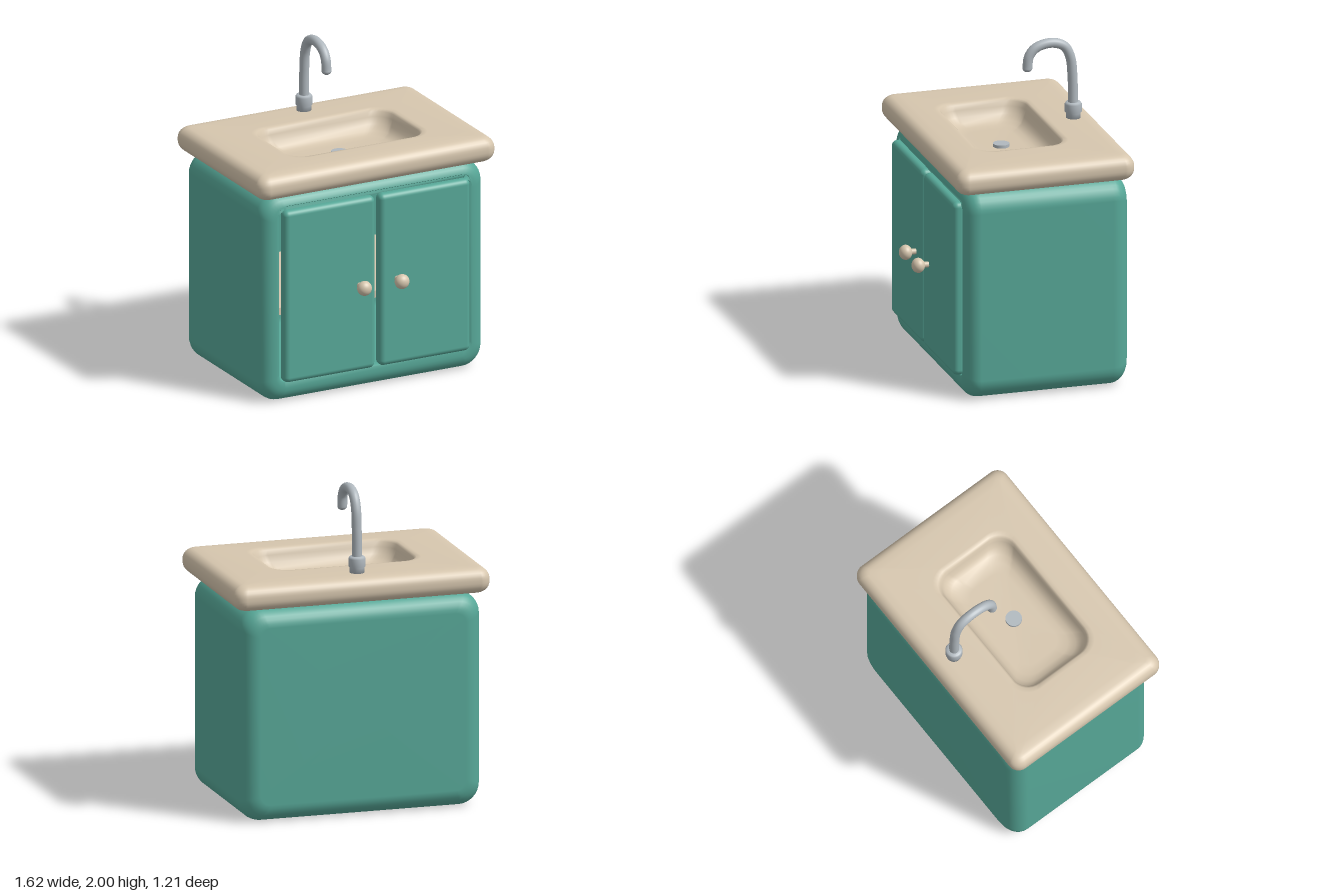
import * as THREE from 'three';
import { RoundedBoxGeometry } from 'three/addons/geometries/RoundedBoxGeometry.js';

const teal = new THREE.MeshStandardMaterial({ color: 0x57a898 });
const cream = new THREE.MeshStandardMaterial({ color: 0xd6c6ae });
const metal = new THREE.MeshStandardMaterial({ color: 0xb0b8be });

const V = (x, y, z) => new THREE.Vector3(x, y, z);

function add(parent, name, geometry, material, x = 0, y = 0, z = 0) {
  const mesh = new THREE.Mesh(geometry, material);
  mesh.name = name;
  mesh.position.set(x, y, z);
  parent.add(mesh);
  return mesh;
}

// Skin through rounded-rectangle rings [halfWidth, halfHeight, cornerRadius, z, centreY]
function loft(rings, steps = 8) {
  const pos = [], index = [], n = 4 * (steps + 1);
  for (const [hw, hh, r, z, cy = 0] of rings) {
    for (let c = 0; c < 4; c++) {
      const sx = c === 0 || c === 3 ? 1 : -1, sy = c < 2 ? 1 : -1;
      for (let k = 0; k <= steps; k++) {
        const a = (c + k / steps) * Math.PI / 2;
        pos.push(sx * (hw - r) + r * Math.cos(a), cy + sy * (hh - r) + r * Math.sin(a), z);
      }
    }
  }
  for (let i = 0; i < rings.length - 1; i++) {
    for (let j = 0; j < n; j++) {
      const a = i * n + j, b = i * n + (j + 1) % n;
      index.push(a, b, b + n, a, b + n, a + n);
    }
  }
  const g = new THREE.BufferGeometry();
  g.setAttribute('position', new THREE.Float32BufferAttribute(pos, 3));
  g.setIndex(index);
  g.computeVertexNormals();
  return g;
}

// Quarter-round of rings: from the flat back face to the side, or from the side to the front face
function roundedEdge(hw, hh, corner, zFace, radius, front, cy = 0) {
  const rings = [];
  for (let k = 0; k <= 7; k++) {
    const a = (k / 7) * Math.PI / 2;
    const inset = radius * (1 - (front ? Math.cos(a) : Math.sin(a)));
    const dz = radius * (1 - (front ? Math.sin(a) : Math.cos(a)));
    rings.push([hw - inset, hh - inset, Math.max(0.02, corner - inset * 0.6), zFace + (front ? -dz : dz), cy]);
  }
  return rings;
}

export function createModel() {
  const model = new THREE.Group();
  model.name = 'sinkCabinet';

  // Hollow cabinet with a rounded shell and a front opening
  const mid = 0.66, open = 0.69;
  add(model, 'cabinet', loft([
    [0, 0, 0, -0.585, mid],
    ...roundedEdge(0.76, 0.66, 0.13, -0.585, 0.11, false, mid),
    ...roundedEdge(0.76, 0.66, 0.13, 0.45, 0.09, true, mid),
    [0.655, 0.565, 0.05, 0.45, open],
    [0.647, 0.557, 0.045, 0.442, open],
    [0.645, 0.555, 0.045, 0.42, open],
    [0.645, 0.555, 0.045, -0.48, open],
    [0.62, 0.53, 0.03, -0.5, open],
    [0, 0, 0, -0.5, open],
  ]), teal);
  add(model, 'shelf', new THREE.BoxGeometry(1.29, 0.045, 0.88), cream, 0, 0.56, -0.06);

  // Doors and knobs, mirrored
  for (const [side, s] of [['left', 1], ['right', -1]]) {
    const door = new THREE.Group();
    door.name = side + 'Door';
    model.add(door);
    add(door, side + 'DoorPanel', new RoundedBoxGeometry(0.622, 1.1, 0.08, 5, 0.034), teal, s * 0.325, 0.685, 0.46);
    add(door, side + 'KnobStem', new THREE.CylinderGeometry(0.018, 0.018, 0.07, 20), cream, s * 0.128, 0.685, 0.52)
      .rotation.x = Math.PI / 2;
    add(door, side + 'Knob', new THREE.SphereGeometry(0.046, 28, 20), cream, s * 0.128, 0.685, 0.564)
      .scale.z = 0.88;
  }

  // Countertop with a moulded basin, lofted upwards
  const c = 0.043;
  const counter = loft([
    [0, 0, 0, 1.32, c],
    ...roundedEdge(0.81, 0.562, 0.07, 1.32, 0.07, false, c),
    ...roundedEdge(0.81, 0.562, 0.07, 1.478, 0.07, true, c),
    [0.7, 0.46, 0.06, 1.483, c],
    [0.49, 0.305, 0.13, 1.485],
    [0.465, 0.28, 0.12, 1.482],
    [0.452, 0.268, 0.115, 1.47],
    [0.443, 0.26, 0.11, 1.44],
    [0.428, 0.246, 0.11, 1.4],
    [0.4, 0.22, 0.11, 1.368],
    [0.36, 0.185, 0.1, 1.352],
    [0.3, 0.14, 0.08, 1.347],
    [0, 0, 0, 1.345],
  ]);
  counter.rotateX(-Math.PI / 2);
  add(model, 'countertop', counter, cream);

  // Drain and the pipe under it
  add(model, 'drain', new THREE.CylinderGeometry(0.05, 0.05, 0.025, 32), metal, 0, 1.352, 0);
  const pipePath = new THREE.CatmullRomCurve3([
    V(0, 1.33, 0), V(0, 1.15, 0), V(0, 1.03, -0.02), V(0, 0.97, -0.1), V(0, 0.96, -0.25), V(0, 0.96, -0.5),
  ]);
  add(model, 'drainPipe', new THREE.TubeGeometry(pipePath, 40, 0.04, 16), metal);

  // Faucet: collar, curved spout and rounded tip
  const faucet = new THREE.Group();
  faucet.name = 'faucet';
  model.add(faucet);
  const collar = [[0, 1.47], [0.045, 1.47], [0.045, 1.515], [0.052, 1.522], [0.052, 1.57], [0.045, 1.582], [0.028, 1.584]];
  add(faucet, 'faucetCollar', new THREE.LatheGeometry(collar.map(p => new THREE.Vector2(...p)), 32), metal, 0, 0, -0.455);
  const spoutPath = new THREE.CatmullRomCurve3([
    V(0, 1.56, -0.453), V(0, 1.75, -0.45), V(0, 1.87, -0.436), V(0, 1.94, -0.4), V(0, 1.968, -0.34),
    V(0, 1.967, -0.27), V(0, 1.942, -0.21), V(0, 1.895, -0.175), V(0, 1.825, -0.165),
  ]);
  add(faucet, 'faucetSpout', new THREE.TubeGeometry(spoutPath, 60, 0.03, 20), metal);
  add(faucet, 'spoutTip', new THREE.SphereGeometry(0.03, 20, 14), metal, 0, 1.825, -0.165).scale.y = 0.8;

  return model;
}
